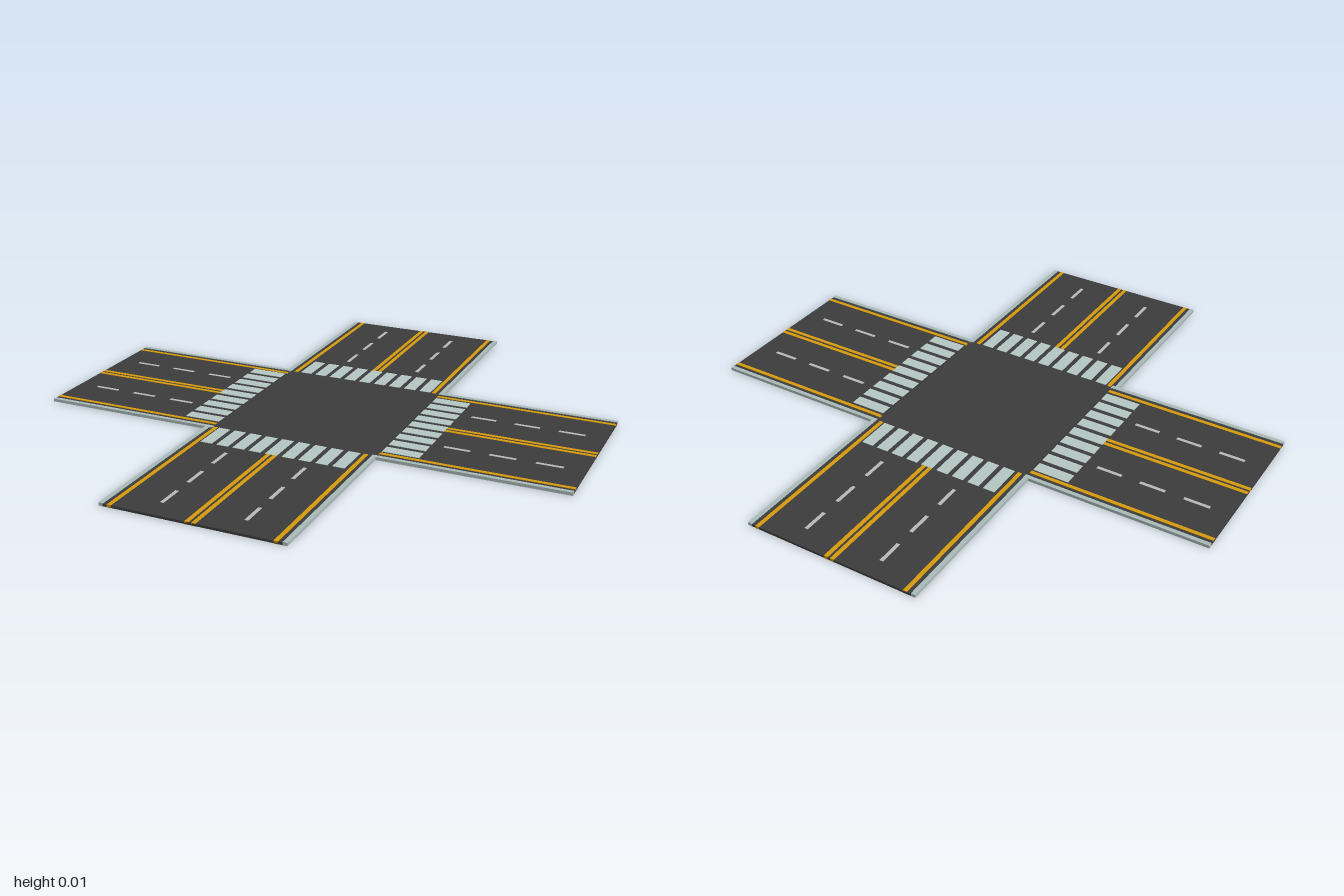
import * as THREE from 'three';

const mat = (color) => new THREE.MeshStandardMaterial({ color });

export function createModel() {
  const root = new THREE.Group();
  root.name = 'crossroads';
  const asphalt = mat(0x3c3c3c), kerbGrey = mat(0xa9bab8), yellow = mat(0xd79a0c);
  const dashGrey = mat(0xb8b8b8), stripeGrey = mat(0xb4c6c3);

  // Box spanning y0..y1 and z0..z1, centred on x
  function slab(parent, name, material, x, width, z0, z1, y0, y1) {
    const mesh = new THREE.Mesh(new THREE.BoxGeometry(width, y1 - y0, z1 - z0), material);
    mesh.position.set(x, (y0 + y1) / 2, (z0 + z1) / 2);
    mesh.name = name;
    parent.add(mesh);
  }

  slab(root, 'junctionSurface', asphalt, 0, 0.62, -0.318, 0.318, 0.001, 0.0095);

  // One road leading away from the junction along its own +z
  function arm(name, angle, end, shift, crossingShift, dashStart) {
    const g = new THREE.Group();
    g.name = name;
    g.rotation.y = angle;
    slab(g, 'roadSurface', asphalt, shift, 0.622, 0.315, end, 0.001, 0.0095);

    for (const s of [-1, 1]) {
      slab(g, 'kerb', kerbGrey, shift + s * 0.319, 0.016, 0.312, end, 0.0005, 0.0115);
      // painted lines pass through the slab and show on the underside
      slab(g, 'edgeLine', yellow, shift + s * 0.289, 0.015, 0.315, end, 0, 0.0105);
      slab(g, 'centreLine', yellow, shift + s * 0.012, 0.015, 0.452, end, 0, 0.0105);
      for (let i = 0; i < 3; i++) {
        const z = dashStart + i * 0.162;
        slab(g, 'laneDash', dashGrey, shift + s * 0.148, 0.013, z, z + 0.094, 0, 0.0105);
      }
    }

    // Pedestrian crossing, painted on top only
    for (let i = -4; i <= 4; i++) {
      slab(g, 'crossingStripe', stripeGrey, crossingShift + i * 0.0625, 0.044, 0.317, 0.452, 0.009, 0.011);
    }
    root.add(g);
  }

  arm('frontRoad', 0, 1, -0.0115, -0.015, 0.5);
  arm('backRoad', Math.PI, 1, -0.001, -0.004, 0.508);
  arm('leftRoad', Math.PI / 2, 0.99, 0, -0.001, 0.496);
  arm('rightRoad', -Math.PI / 2, 0.99, -0.002, -0.005, 0.496);
  return root;
}
